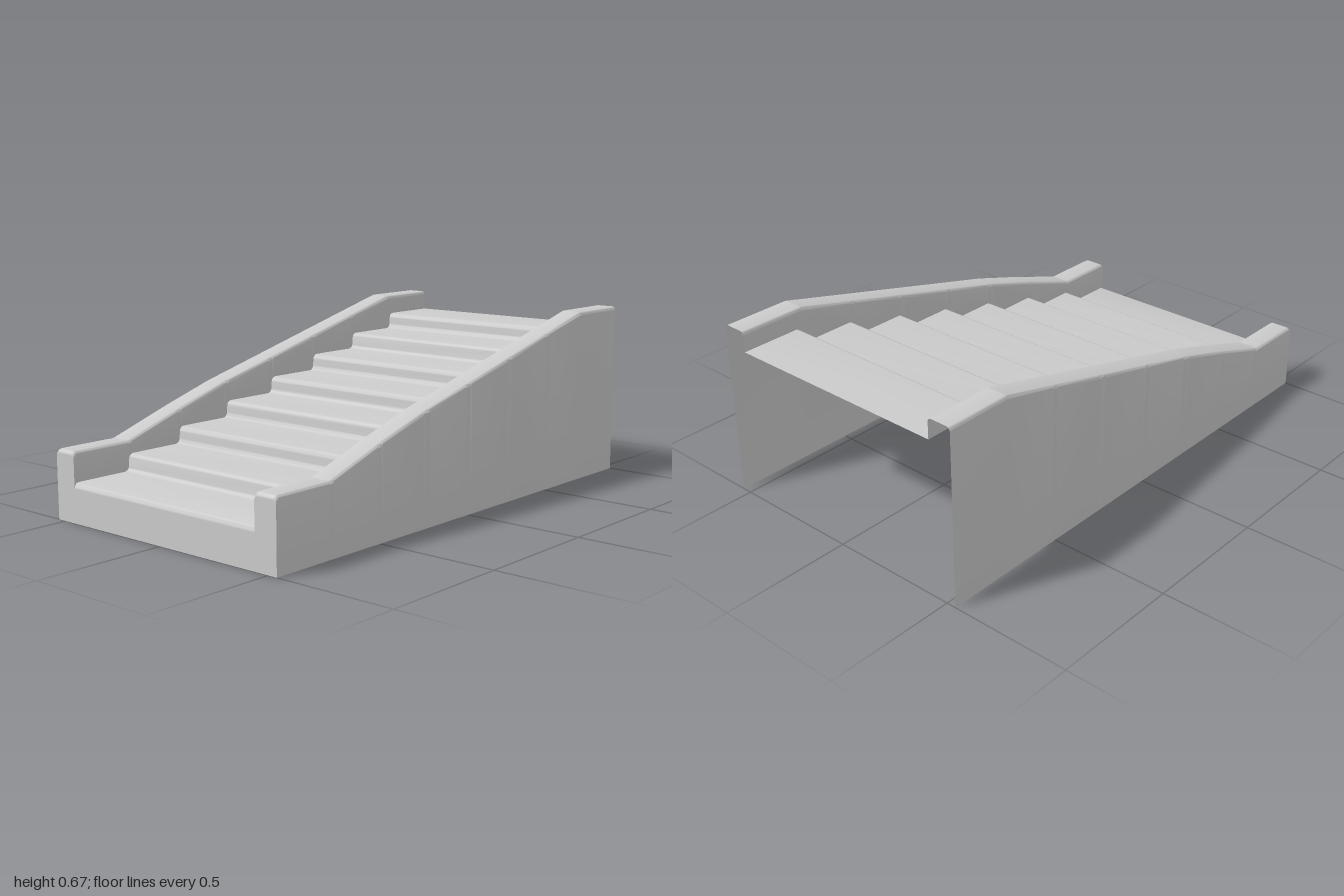
import * as THREE from 'three';
import { toCreasedNormals } from 'three/addons/utils/BufferGeometryUtils.js';

const STEPS = 8, DEPTH = 0.25, RISE = 0.064, FIRST = 0.148;
const INNER = 0.443, OUTER = 0.537;
const R = 0.02, EDGE = 0.015, SEG = 5;

// Height of the rail along z
const RAIL = [[1, 0.26], [0.75, 0.26], [0.48, 0.35], [0.27, 0.415], [-0.74, 0.674], [-1, 0.674]];
function railHeight(z) {
  let y = RAIL[0][1];
  for (let i = 0; i < RAIL.length - 1; i++) {
    const [z0, y0] = RAIL[i], [z1, y1] = RAIL[i + 1];
    if (z <= z0 && z >= z1) y = y0 + (y1 - y0) * (z0 - z) / (z0 - z1);
  }
  const d = EDGE - (1 - z); // rounded front edge
  return d > 0 ? y - EDGE + Math.sqrt(EDGE * EDGE - d * d) : y;
}

// Stair profile from front to back: soft fillet under each riser, round nosing above
function stairProfile() {
  const pts = [];
  for (let k = 0; k < STEPS; k++) {
    const n = 1 - DEPTH * k, y = FIRST + RISE * k;
    if (k > 0) {
      for (let i = 0; i <= SEG; i++) {
        const a = (i / SEG) * Math.PI / 2;
        pts.push([n + 0.001 + R * (1 - Math.sin(a)), y - RISE + R * (1 - Math.cos(a))]);
      }
    }
    for (let i = 0; i <= SEG; i++) {
      const a = (i / SEG) * Math.PI / 2;
      pts.push([n - (k ? 0.001 : 0) - R * (1 - Math.cos(a)), y - R + R * Math.sin(a)]);
    }
  }
  pts.push([-1, FIRST + RISE * (STEPS - 1)]);
  return pts;
}

// Half section of a rail: outer wall, rounded top, inner wall down to the tread
function railSection(z, treadY, side) {
  const h = railHeight(z), pts = [[OUTER, 0]];
  for (let i = 0; i <= SEG; i++) {
    const a = (i / SEG) * Math.PI / 2;
    pts.push([OUTER - EDGE + EDGE * Math.cos(a), h - EDGE + EDGE * Math.sin(a)]);
  }
  for (let i = 0; i <= SEG; i++) {
    const a = Math.PI / 2 + (i / SEG) * Math.PI / 2;
    pts.push([INNER + EDGE + EDGE * Math.cos(a), h - EDGE + EDGE * Math.sin(a)]);
  }
  pts.push([INNER, treadY]);
  return pts.map(([x, y]) => [x * side, y]);
}

// Skin between successive cross-sections
function loft(stations, sectionAt, flip) {
  const pos = [], idx = [];
  let m = 0;
  stations.forEach(([z, y]) => {
    const s = sectionAt(z, y);
    m = s.length;
    s.forEach(([px, py]) => pos.push(px, py, z));
  });
  for (let i = 0; i < stations.length - 1; i++) {
    for (let j = 0; j < m - 1; j++) {
      const a = i * m + j, b = a + m, c = b + 1, d = a + 1;
      if (flip) idx.push(a, d, b, d, c, b);
      else idx.push(a, b, d, b, c, d);
    }
  }
  const g = new THREE.BufferGeometry();
  g.setAttribute('position', new THREE.Float32BufferAttribute(pos, 3));
  g.setIndex(idx);
  return toCreasedNormals(g, 0.7);
}

export function createModel() {
  const group = new THREE.Group();
  group.name = 'staircase';
  const material = new THREE.MeshStandardMaterial({ color: 0xcccccc, side: THREE.DoubleSide });
  const add = (name, geometry) => {
    const mesh = new THREE.Mesh(geometry, material);
    mesh.name = name;
    group.add(mesh);
  };
  const profile = stairProfile();

  // Steps
  add('steps', loft(profile, (z, y) => [[INNER, y], [-INNER, y]], false));

  // Hollow side rails with outer walls
  for (const [name, side] of [['leftRail', 1], ['rightRail', -1]]) {
    add(name, loft(profile, (z, y) => railSection(z, y, side), side < 0));
  }

  // Front wall closing the rails and the first step
  const [z0, y0] = profile[0];
  const outline = [...railSection(z0, y0, 1), ...railSection(z0, y0, -1).reverse()];
  const front = new THREE.ShapeGeometry(new THREE.Shape(outline.map(([x, y]) => new THREE.Vector2(x, y))));
  front.translate(0, 0, z0);
  add('frontWall', front);

  return group;
}
